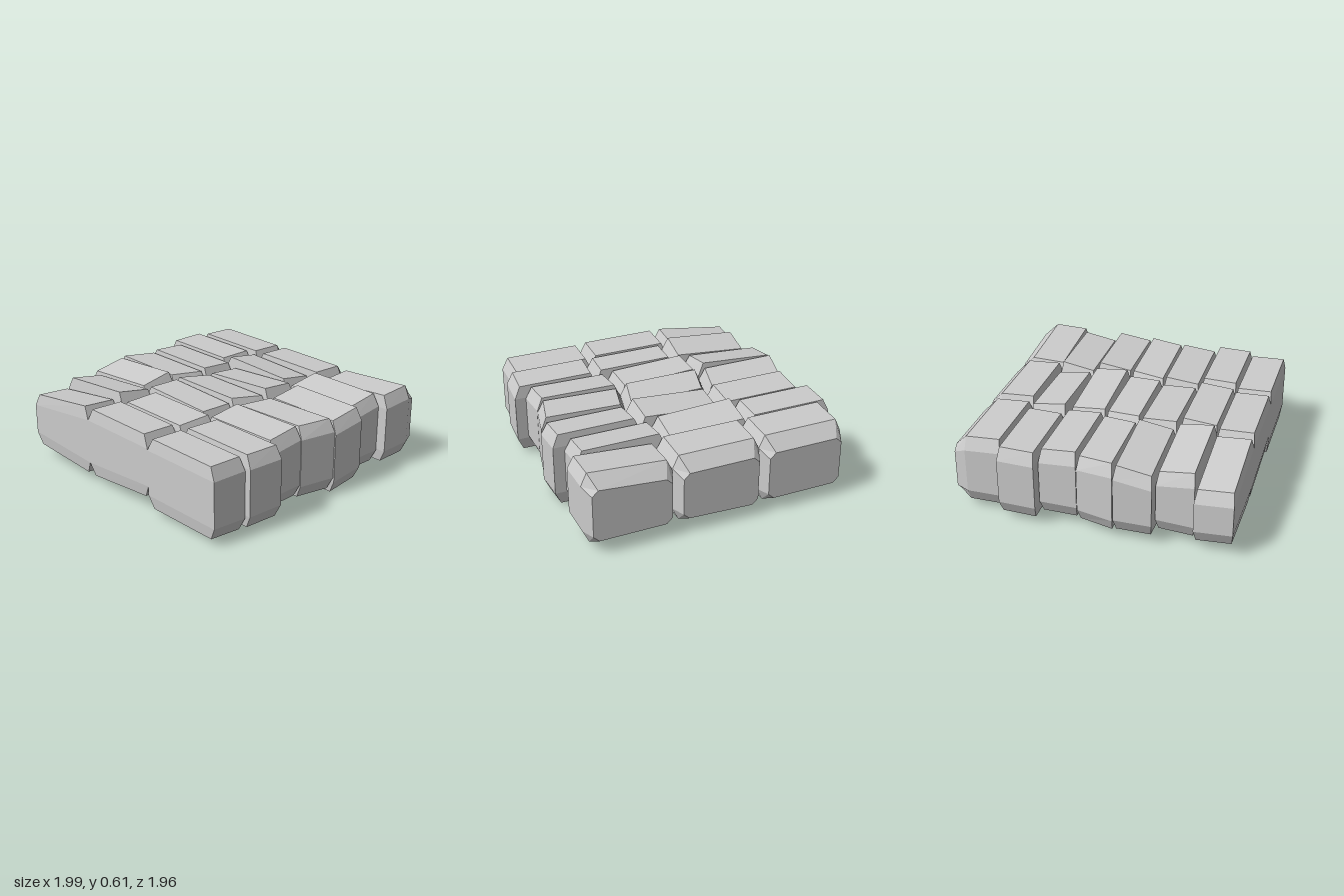
import * as THREE from 'three';

const STONE_LENGTH = 0.633;
const COURSE_PITCH = 0.269;

// Courses from back to front: sideways shift at the back and front edge, and for each stone
// [top tilt in x, top tilt in z, bottom lift, bottom tilt in x, bottom tilt in z, top lift]
const courses = [
  { shift: [0.03, 0.03], stones: [[0, 0.01, 0, 0], [0, 0.01, 0, 0.01], [0.02, -0.005, 0.01, 0]] },
  { shift: [-0.04, -0.05], stones: [[0, 0, 0, 0], [-0.01, 0.02, 0, 0], [0, -0.018, 0, 0]] },
  { shift: [0.03, 0.025], stones: [[0, 0.01, 0, -0.01], [0.02, 0.012, 0, 0], [0, -0.015, -0.035, 0.005, -0.015]] },
  { shift: [0.02, -0.04], stones: [[0, 0.01, 0, 0], [0, 0.015, 0, -0.01], [0.01, 0, -0.01, 0]] },
  { shift: [-0.04, -0.04], stones: [[0.02, -0.02, 0, -0.01], [-0.01, 0.005, 0, 0], [0.005, -0.012, 0.01, 0]] },
  { shift: [0.04, 0.02], stones: [[0.025, 0.02, -0.005, -0.02], [0, -0.005, 0, -0.015], [0, 0.002, -0.01, 0]] },
  { shift: [-0.02, -0.025], stones: [[0.04, 0.01, 0.01, -0.015, 0.01, -0.045], [0, 0.005, 0.03, 0.025], [0, 0.005, -0.02, 0, 0.01, -0.01]] },
];

// Hewn block: a box whose top and bottom rings draw in and tilt
function stoneGeometry(shift, stone, row, column) {
  const [topX, topZ, lift, bottomX, bottomZ = 0, topLift = 0] = stone;
  const rounded = row === 0;
  const zBack = rounded ? -0.985 : -0.632 + COURSE_PITCH * (row - 1);
  const depth = rounded ? 0.347 : 0.264;
  const geometry = new THREE.BoxGeometry(2, 3, 2, 1, 3, rounded ? 2 : 1);
  const p = geometry.attributes.position;
  for (let i = 0; i < p.count; i++) {
    const u = Math.sign(p.getX(i));
    const level = Math.round(p.getY(i) + 1.5);
    const z = p.getZ(i);
    const t = z === 0 ? 0.27 : (z + 1) / 2;
    const v = t * 2 - 1;
    const atEdge = level === 0 || level === 3;
    const worn = rounded && t === 0;
    const joint = (column - 1 + u / 2) * STONE_LENGTH + THREE.MathUtils.lerp(shift[0], shift[1], t);
    const insetX = (atEdge ? 0.042 : 0) + (worn ? 0.04 : 0);
    const insetZ = atEdge && !worn && Math.abs(v) === 1 ? 0.012 : 0;
    const high = 0.56 + topLift + topX * u + topZ * v - (worn ? 0.09 : 0);
    const low = 0.055 + lift + bottomX * u + bottomZ * v + (worn ? 0.05 : 0);
    const bevel = worn ? 0.04 : 0.09;
    const y = [low, low + bevel, high - bevel, high][level];
    p.setXYZ(i, joint - u * insetX, y, zBack + depth * t - v * insetZ);
  }
  return geometry.toNonIndexed();
}

export function createModel() {
  const model = new THREE.Group();
  model.name = 'stonePaving';
  const material = new THREE.MeshStandardMaterial({ color: 0xcccccc, flatShading: true });
  courses.forEach(({ shift, stones }, row) => {
    const course = new THREE.Group();
    course.name = `stoneCourse${row + 1}`;
    stones.forEach((stone, column) => {
      const geometry = stoneGeometry(shift, stone, row, column);
      geometry.computeVertexNormals();
      const mesh = new THREE.Mesh(geometry, material);
      mesh.name = `stone${column + 1}`;
      course.add(mesh);
    });
    model.add(course);
  });
  return model;
}
